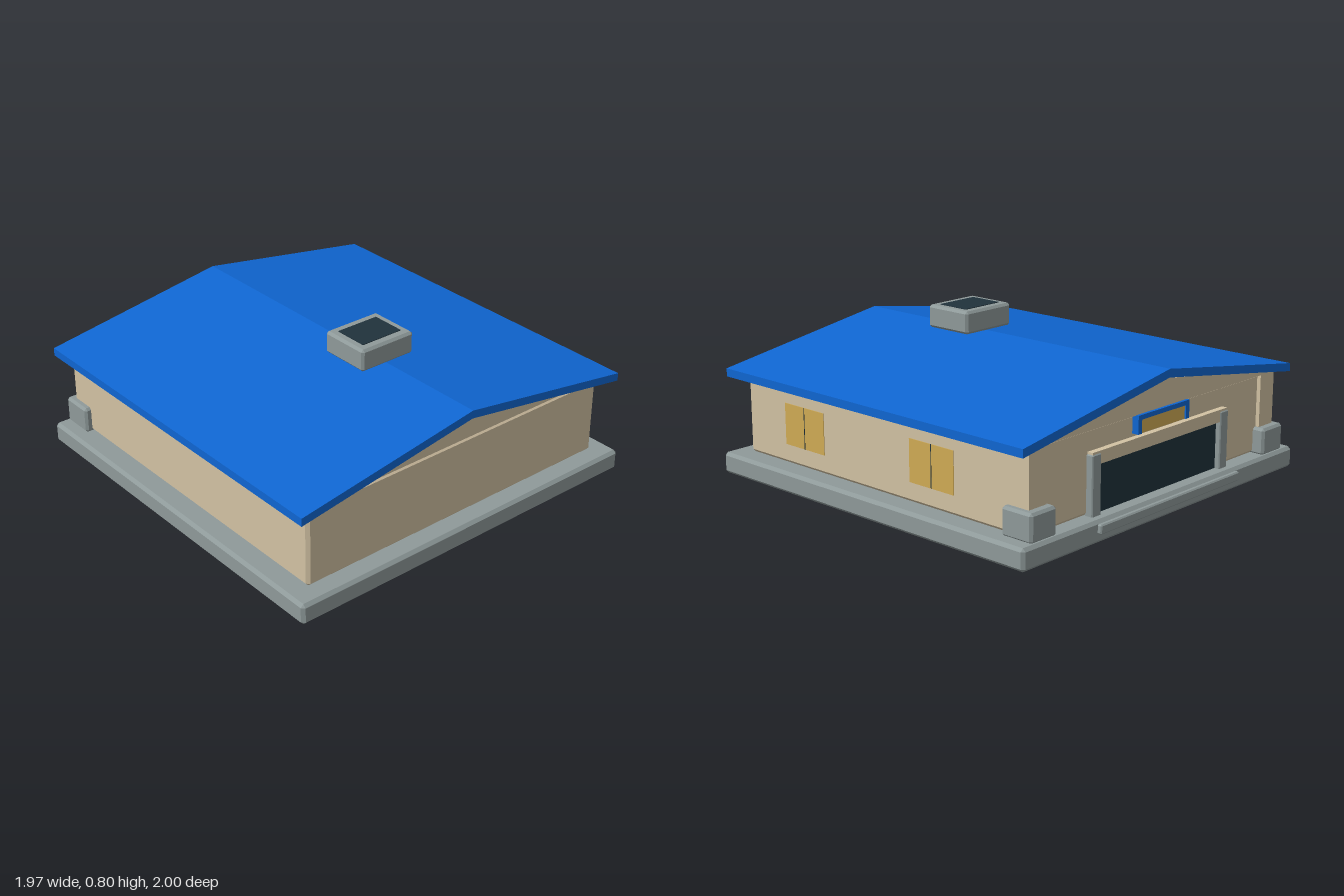
import * as THREE from 'three';
import { ConvexGeometry } from 'three/addons/geometries/ConvexGeometry.js';

const mat = (name, color) => Object.assign(new THREE.MeshStandardMaterial({ color }), { name });

// Box between two corners with all edges chamfered by c
function chamferBox([x0, y0, z0], [x1, y1, z1], c) {
  const mid = [(x0 + x1) / 2, (y0 + y1) / 2, (z0 + z1) / 2];
  const half = [(x1 - x0) / 2, (y1 - y0) / 2, (z1 - z0) / 2];
  const points = [];
  for (const sx of [-1, 1]) for (const sy of [-1, 1]) for (const sz of [-1, 1]) {
    const s = [sx, sy, sz];
    for (let full = 0; full < 3; full++) {
      points.push(new THREE.Vector3(...mid.map((m, i) => m + s[i] * (half[i] - (i === full ? 0 : c)))));
    }
  }
  return new ConvexGeometry(points);
}

// Plain box between two corners
function plainBox(a, b) {
  return new THREE.BoxGeometry(b[0] - a[0], b[1] - a[1], b[2] - a[2])
    .translate((a[0] + b[0]) / 2, (a[1] + b[1]) / 2, (a[2] + b[2]) / 2);
}

// Outline in x and y, extended from z0 to z1
function prism(points, z0, z1) {
  const shape = new THREE.Shape(points.map(p => new THREE.Vector2(...p)));
  return new THREE.ExtrudeGeometry(shape, { depth: z1 - z0, bevelEnabled: false }).translate(0, 0, z0);
}

export function createModel() {
  const tan = mat('wall tan', 0xd2c2a3);
  const grey = mat('concrete grey', 0x8f9a9a);
  const blue = mat('roof blue', 0x0f66d2);
  const dark = mat('dark glass', 0x20323c);
  const yellow = mat('window yellow', 0xd0ab55);

  const model = new THREE.Group();
  model.name = 'building';
  const add = (name, geometry, material) => {
    const mesh = new THREE.Mesh(geometry, material);
    mesh.name = name;
    model.add(mesh);
  };

  // Foundation and entrance step
  add('foundation', chamferBox([-0.985, 0, -0.98], [0.985, 0.105, 1], 0.015), grey);
  add('entranceStep', chamferBox([-0.51, 0.045, -1], [0.51, 0.09, -0.96], 0.006), grey);

  // Walls and gable
  add('walls', chamferBox([-0.885, 0.105, -0.9], [0.885, 0.5, 0.91], 0.015), tan);
  add('gable', prism([[-0.88, 0.495], [0.88, 0.495], [0, 0.63]], -0.92, 0.905), tan);

  // Roof of two slopes
  add('roof', prism([[-0.965, 0.487], [0, 0.64], [0.965, 0.487], [0.965, 0.527],
    [0, 0.68], [-0.965, 0.527]], -0.96, 0.972), blue);

  // Roof vent with dark skylight
  add('roofVent', chamferBox([-0.155, 0.683, 0.145], [0.155, 0.795, 0.41], 0.012), grey);
  add('skylight', plainBox([-0.115, 0.792, 0.19], [0.115, 0.798, 0.365]), dark);

  // Corner pilasters, plinths and door posts, mirrored
  for (const s of [-1, 1]) {
    const pair = (x0, x1) => (s > 0 ? [x0, x1] : [-x1, -x0]);
    const [a0, a1] = pair(0.775, 0.885);
    add('cornerPilaster', plainBox([a0, 0.105, -0.92], [a1, 0.5, -0.85]), tan);
    const [b0, b1] = pair(0.755, 0.917);
    add('cornerPlinth', chamferBox([b0, 0.1, -0.963], [b1, 0.235, -0.79], 0.012), grey);
    const [c0, c1] = pair(0.435, 0.495);
    add('doorPost', chamferBox([c0, 0.1, -0.935], [c1, 0.385, -0.89], 0.005), grey);
    const [d0, d1] = pair(0.16, 0.185);
    add('signSide', plainBox([d0, 0.41, -0.935], [d1, 0.49, -0.89]), blue);
  }

  // Wide entrance door and lintel
  add('door', plainBox([-0.435, 0.105, -0.908], [0.435, 0.335, -0.899]), dark);
  add('lintel', plainBox([-0.49, 0.335, -0.93], [0.49, 0.395, -0.89]), tan);

  // Sign above the door
  add('signTop', plainBox([-0.185, 0.475, -0.935], [0.185, 0.497, -0.89]), blue);
  add('signPanel', plainBox([-0.16, 0.41, -0.928], [0.16, 0.475, -0.919]), yellow);

  // Side windows with a thin mullion
  for (const z of [0.498, -0.348]) {
    add('sideWindow', plainBox([0.882, 0.2, z - 0.137], [0.888, 0.403, z + 0.137]), yellow);
    add('mullion', plainBox([0.882, 0.2, z - 0.002], [0.889, 0.403, z + 0.002]), dark);
  }
  return model;
}
